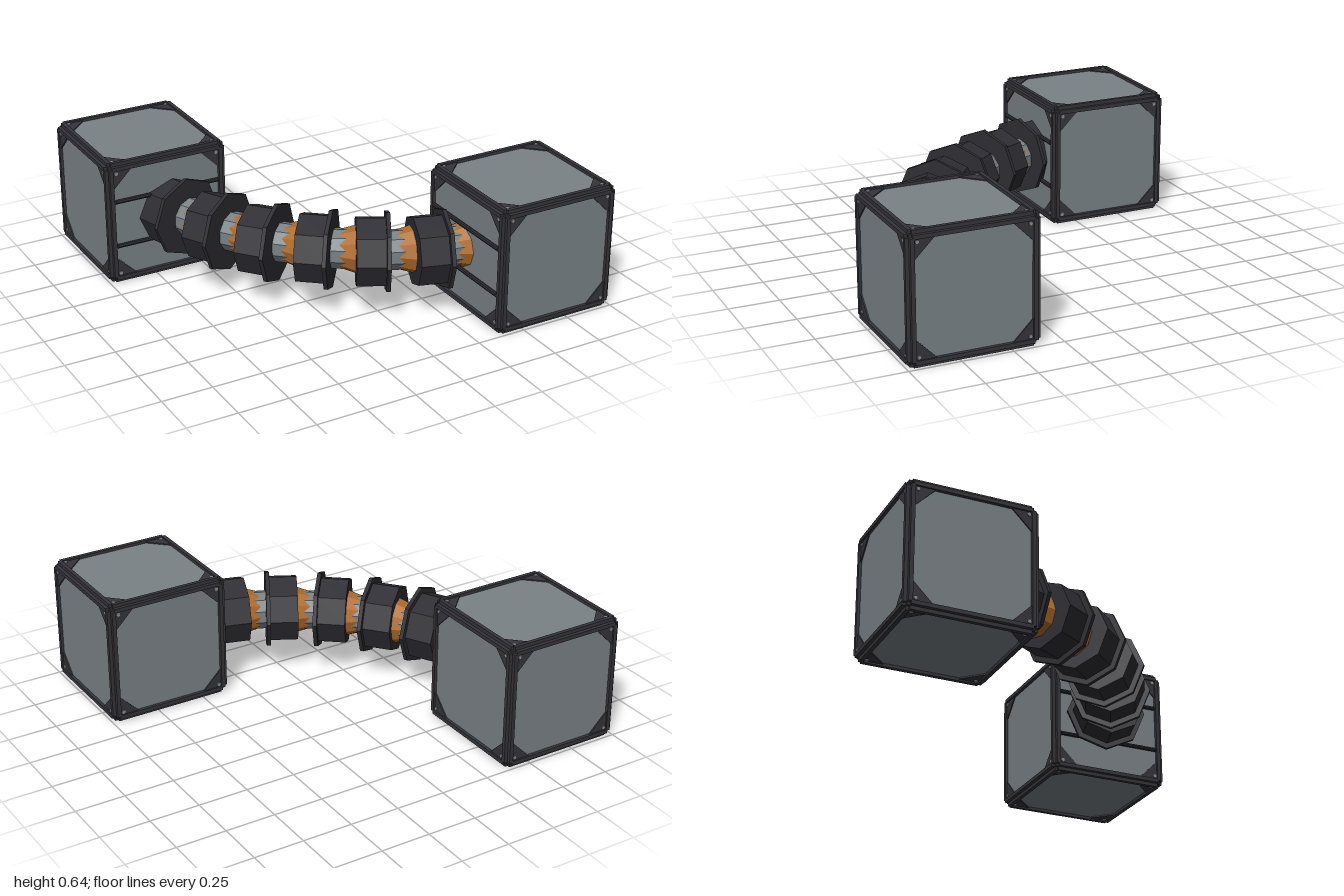
import * as THREE from 'three';

const paint = (name, color) => {
  const m = new THREE.MeshStandardMaterial({ color });
  m.name = name;
  return m;
};

// Low-poly cylinder lying along z, from z0 to z1
function prism(r0, r1, z0, z1, sides, turn = 0) {
  const g = new THREE.CylinderGeometry(r1, r0, z1 - z0, sides);
  g.rotateY(turn).rotateX(Math.PI / 2).translate(0, 0, (z0 + z1) / 2);
  const flat = g.toNonIndexed();
  flat.computeVertexNormals();
  return flat;
}

// Plate standing on the cube face at z = 0.3
function plate(points, depth) {
  const shape = new THREE.Shape(points.map(([x, y]) => new THREE.Vector2(x, y)));
  return new THREE.ExtrudeGeometry(shape, { depth, bevelEnabled: false }).translate(0, 0, 0.3);
}

export function createModel() {
  const frame = paint('dark frame', 0x35343b);
  const black = paint('black collar', 0x2e2d33);
  const grey = paint('grey panel', 0x7a8286);
  const copper = paint('copper sleeve', 0xb06c2c);
  const steel = paint('steel bolt', 0x8b8f93);

  const model = new THREE.Group();
  model.name = 'cubesWithConduit';

  const add = (parent, name, geometry, material) => {
    const mesh = new THREE.Mesh(geometry, material);
    mesh.name = name;
    parent.add(mesh);
    return mesh;
  };

  // Shared cube parts
  const a = 0.278, b = 0.188;
  const panelGeo = plate([[-b, -a], [b, -a], [a, -b], [a, b], [b, a], [-b, a], [-a, b], [-a, -b]], 0.004);
  const gussetGeo = plate([[b - 0.005, a + 0.002], [a + 0.002, b - 0.005], [a + 0.002, a + 0.002]], 0.01);
  const stripGeo = new THREE.BoxGeometry(0.02, 0.572, 0.022).translate(0.29, 0, 0.307);
  const boltGeo = prism(0.01, 0.01, 0.3, 0.315, 8).translate(0.266, 0.266, 0);
  const coreGeo = new THREE.BoxGeometry(0.6, 0.6, 0.6);
  const railGeo = prism(0.011, 0.011, -0.275, 0.275, 8).rotateY(Math.PI / 2);

  function cube(name, x, z, portTurn) {
    const group = new THREE.Group();
    group.name = name;
    group.position.set(x, 0.32, z);
    add(group, 'cubeCore', coreGeo, frame);

    // Six framed faces
    for (let i = 0; i < 6; i++) {
      const face = new THREE.Group();
      face.name = 'cubeFace';
      if (i < 4) face.rotation.y = i * Math.PI / 2;
      else face.rotation.x = i === 4 ? Math.PI / 2 : -Math.PI / 2;
      add(face, 'panel', panelGeo, grey);
      for (let q = 0; q < 4; q++) {
        const turn = q * Math.PI / 2;
        add(face, 'edgeStrip', stripGeo, frame).rotation.z = turn;
        add(face, 'cornerGusset', gussetGeo, frame).rotation.z = turn;
        add(face, 'cornerBolt', boltGeo, steel).rotation.z = turn;
      }
      group.add(face);
    }

    // Two rails on the face where the conduit enters
    const port = new THREE.Group();
    port.name = 'portRails';
    port.rotation.y = portTurn;
    for (const y of [-0.118, 0.118]) add(port, 'rail', railGeo, black).position.set(0, y, 0.313);
    group.add(port);
    model.add(group);
  }
  cube('backCube', -0.68, -0.68, 0);
  cube('frontCube', 0.68, 0.68, -Math.PI / 2);

  // Conduit on a quarter circle between the cube centres
  const R = 1.36, step = Math.PI / 16;
  const collarGeo = prism(0.173, 0.173, -0.15, 0, 8);
  const flangeGeo = prism(0.201, 0.201, -0.01, 0.01, 8);
  const coreTubeGeo = prism(0.098, 0.098, -0.28, -0.13, 10);
  const sleeveGeo = prism(0.084, 0.118, -0.252, -0.14, 10, Math.PI / 10);

  for (let k = 1; k <= 7; k++) {
    const t = (k + 0.5) * step;
    const segment = new THREE.Group();
    segment.name = 'conduitSegment';
    segment.position.set(0.68 - R * Math.cos(t), 0.32, -0.68 + R * Math.sin(t));
    segment.rotation.y = t;
    if (k < 7) {
      add(segment, 'collar', collarGeo, black);
      add(segment, 'flange', flangeGeo, black);
    }
    if (k > 1) {
      // Joint reaching back to the previous flange, bent by half a step
      const joint = new THREE.Group();
      joint.name = 'joint';
      joint.rotation.y = -step / 2;
      joint.position.x = 0.012;
      add(joint, 'innerTube', coreTubeGeo, grey);
      add(joint, 'sleeve', sleeveGeo, copper);
      segment.add(joint);
    }
    model.add(segment);
  }
  return model;
}
